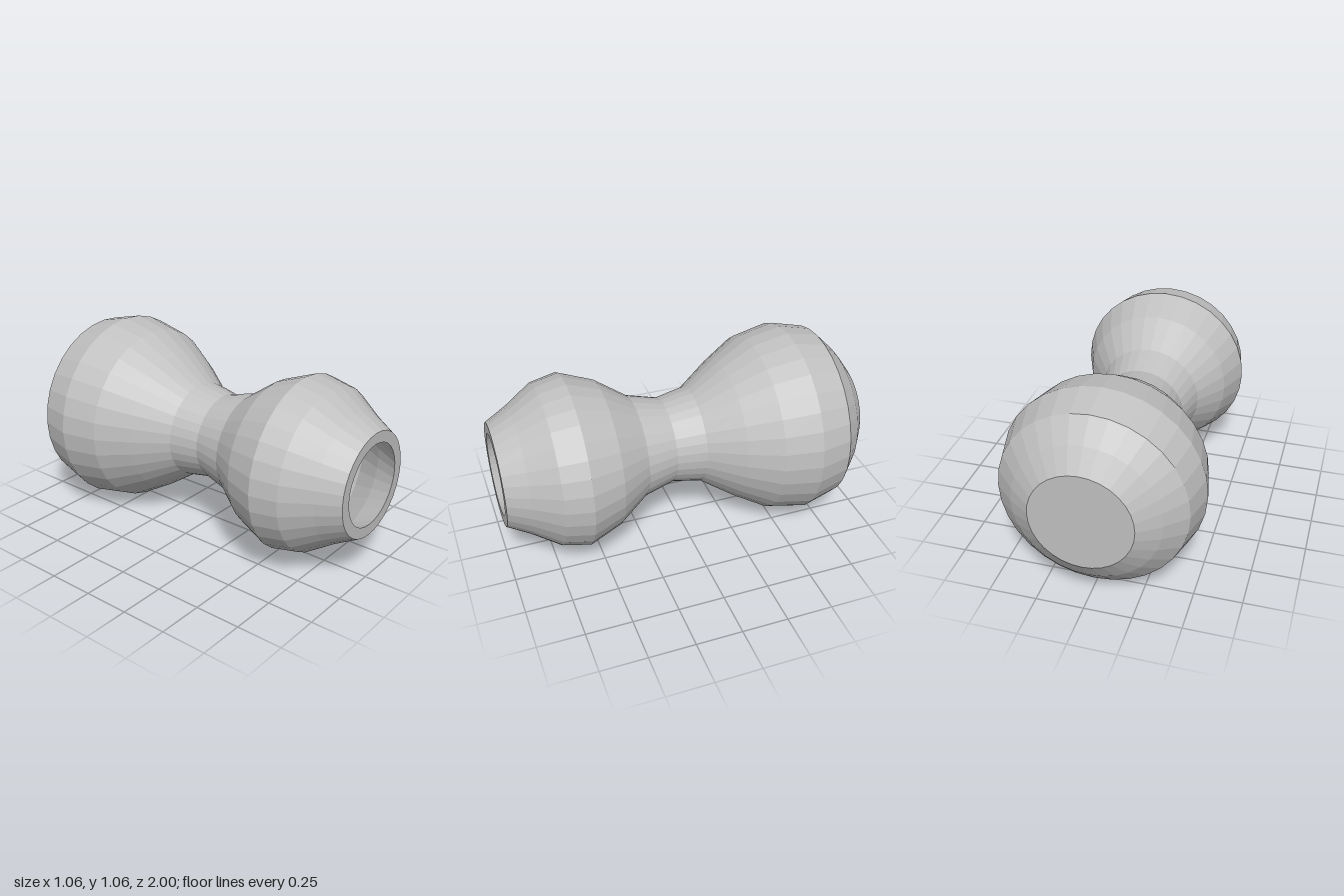
import * as THREE from 'three';

const SIDES = 32;
const CENTRE_Y = 0.53;

export function createModel() {
  const group = new THREE.Group();
  group.name = 'doubleBulbVessel';
  const grey = new THREE.MeshStandardMaterial({ color: 0xc0c0c0, flatShading: true });
  grey.name = 'plain grey';

  // Turned part about the z axis, from [radius, z] pairs
  const turn = (name, profile) => {
    const points = profile.map(([r, z]) => new THREE.Vector2(r, z));
    const geometry = new THREE.LatheGeometry(points, SIDES).rotateX(Math.PI / 2);
    const mesh = new THREE.Mesh(geometry, grey);
    mesh.name = name;
    mesh.position.y = CENTRE_Y;
    group.add(mesh);
  };

  // Outer wall: large back bulb, narrow waist, smaller front bulb
  const outer = [
    [0.265, -1], [0.38, -0.92], [0.485, -0.82], [0.53, -0.64], [0.49, -0.44],
    [0.39, -0.27], [0.265, -0.09], [0.235, 0.07], [0.28, 0.24], [0.4, 0.41],
    [0.47, 0.59], [0.44, 0.735], [0.345, 0.88], [0.28, 1],
  ];
  turn('outerWall', outer);

  // Flat closed back
  turn('backCap', [[0, -1], outer[0]]);

  // Flat ring around the opening
  turn('rim', [[0.28, 1], [0.22, 1]]);

  // Hollow inside, following the outer wall down to a flat floor
  turn('innerWall', [
    [0.22, 1], [0.285, 0.87], [0.38, 0.73], [0.41, 0.59], [0.345, 0.42],
    [0.23, 0.25], [0.19, 0.07], [0.22, -0.1], [0.34, -0.28], [0.43, -0.45],
    [0.47, -0.64], [0.43, -0.79], [0.34, -0.88], [0.24, -0.94],
  ]);
  turn('innerFloor', [[0.24, -0.94], [0, -0.94]]);

  return group;
}
